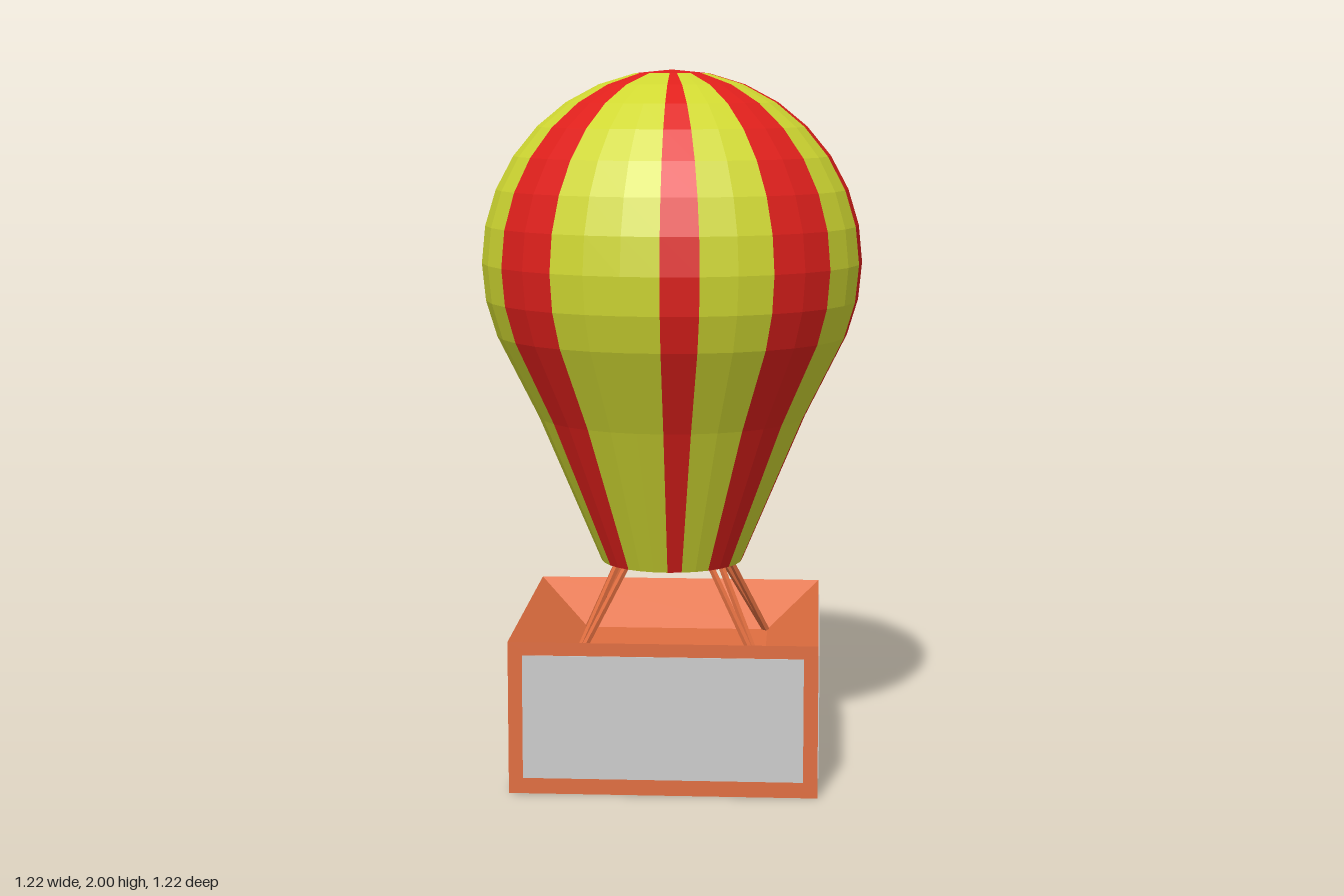
import * as THREE from 'three';
import { mergeGeometries } from 'three/addons/utils/BufferGeometryUtils.js';

const mat = (color) => new THREE.MeshStandardMaterial({ color, flatShading: true, side: THREE.DoubleSide });
const v2 = (x, y) => new THREE.Vector2(x, y);

function add(parent, name, geometry, material) {
  const mesh = new THREE.Mesh(geometry, material);
  mesh.name = name;
  parent.add(mesh);
  return mesh;
}

export function createModel() {
  const model = new THREE.Group();
  model.name = 'hotAirBalloon';
  const red = mat(0xe0201c), yellow = mat(0xd0d832), orange = mat(0xe06e40), grey = mat(0xcccccc);

  // Envelope profile: tapering skirt, then a sphere up to the crown ring
  const R = 0.545, cy = 1.455, sides = 32, step = (Math.PI * 2) / sides;
  const onSphere = (k) => v2(R * Math.cos(k * step), cy + R * Math.sin(k * step));
  const profile = [v2(0.205, 0.585), v2(0.385, 1.01)];
  for (let k = -2; k <= 7; k++) profile.push(onSphere(k));

  // Gores: double-width red stripes on the axes, single ones on the diagonals
  const redGores = [31, 0, 7, 8, 15, 16, 23, 24, 4, 11, 20, 28];
  const stripes = [], panels = [];
  for (let i = 0; i < sides; i++) {
    const gore = new THREE.LatheGeometry(profile, 1, Math.PI / 2 - (i + 1) * step, step);
    (redGores.includes(i) ? stripes : panels).push(gore);
  }
  const envelope = new THREE.Group();
  envelope.name = 'envelope';
  model.add(envelope);
  add(envelope, 'redStripes', mergeGeometries(stripes), red);
  add(envelope, 'yellowGores', mergeGeometries(panels), yellow);
  add(envelope, 'crownCap', new THREE.LatheGeometry([onSphere(7), v2(0, cy + R)], sides), red);

  // Square basket with corners on the axes and a shallow sloping recess on top
  const half = 0.608, height = 0.432, floorR = 0.389, floorY = 0.31;
  const basket = new THREE.Group();
  basket.name = 'basket';
  model.add(basket);
  add(basket, 'basketBody', new THREE.LatheGeometry(
    [v2(0, 0), v2(half, 0), v2(half, height), v2(floorR, floorY), v2(0, floorY)], 4), orange);

  // Grey panel on each basket side
  const side = half * Math.SQRT2;
  for (let i = 0; i < 4; i++) {
    const a = Math.PI / 4 + (i * Math.PI) / 2;
    const panel = add(basket, 'sidePanel', new THREE.BoxGeometry(side - 0.08, 0.35, 0.006), grey);
    panel.position.set(Math.sin(a) * side / 2, 0.22, Math.cos(a) * side / 2);
    panel.rotation.y = a;
  }

  // A narrow pair of ropes from each recess corner to the envelope mouth
  const up = new THREE.Vector3(0, 1, 0);
  for (let i = 0; i < 4; i++) {
    const pair = new THREE.Group();
    pair.name = 'ropePair';
    pair.rotation.y = (i * Math.PI) / 2;
    model.add(pair);
    for (const s of [-1, 1]) {
      const from = new THREE.Vector3(s * 0.003, floorY, floorR - 0.006);
      const to = new THREE.Vector3(s * 0.02, 0.6, 0.185);
      const dir = to.clone().sub(from);
      const rope = add(pair, 'rope', new THREE.BoxGeometry(0.013, dir.length(), 0.013), orange);
      rope.position.copy(from).add(to).multiplyScalar(0.5);
      rope.quaternion.setFromUnitVectors(up, dir.normalize());
    }
  }
  return model;
}
